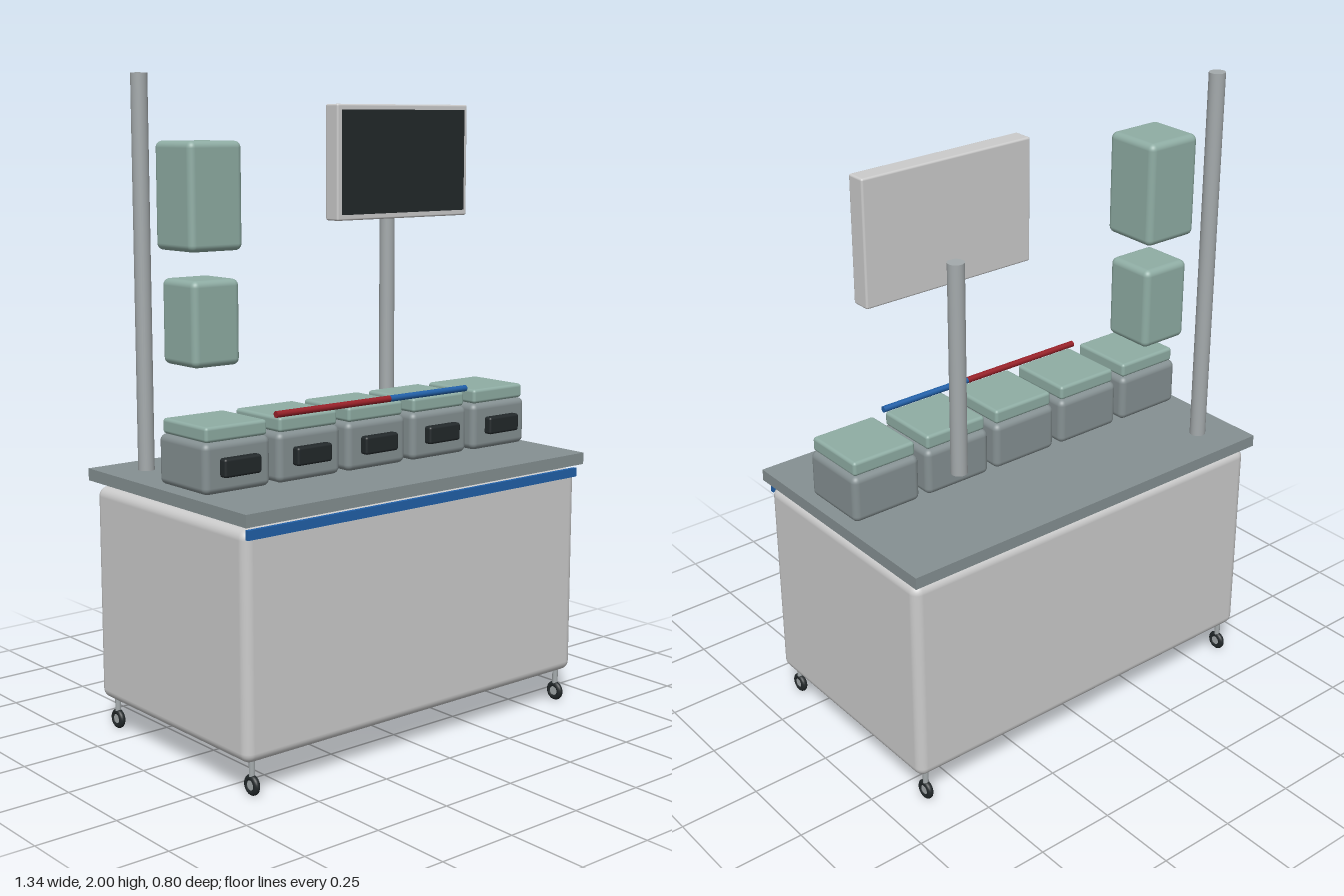
import * as THREE from 'three';
import { RoundedBoxGeometry } from 'three/addons/geometries/RoundedBoxGeometry.js';

const mat = (color) => new THREE.MeshStandardMaterial({ color });
const grey = mat(0xcccccc);
const slate = mat(0x859092);
const steel = mat(0xa4aaac);
const sage = mat(0x8fada4);
const dark = mat(0x22282a);
const blue = mat(0x2160a8);
const red = mat(0x982028);

function add(parent, name, geometry, material, x = 0, y = 0, z = 0) {
  const mesh = new THREE.Mesh(geometry, material);
  mesh.name = name;
  mesh.position.set(x, y, z);
  parent.add(mesh);
  return mesh;
}

// Box given by its lowest and highest corners; r rounds the edges
function block(parent, name, material, [x0, y0, z0], [x1, y1, z1], r = 0) {
  const size = [x1 - x0, y1 - y0, z1 - z0];
  const geometry = r ? new RoundedBoxGeometry(...size, 4, r) : new THREE.BoxGeometry(...size);
  return add(parent, name, geometry, material, (x0 + x1) / 2, (y0 + y1) / 2, (z0 + z1) / 2);
}

function post(parent, name, material, r, x, z, y0, y1) {
  return add(parent, name, new THREE.CylinderGeometry(r, r, y1 - y0, 24), material, x, (y0 + y1) / 2, z);
}

function caster(x, z) {
  const group = new THREE.Group();
  group.name = 'caster';
  group.position.set(x, 0, z);
  post(group, 'casterStem', steel, 0.009, 0, 0, 0.05, 0.115);
  add(group, 'casterTire', new THREE.TorusGeometry(0.021, 0.01, 12, 28), dark, 0, 0.031, 0).rotation.y = Math.PI / 2;
  add(group, 'casterHub', new THREE.CylinderGeometry(0.016, 0.016, 0.014, 20), steel, 0, 0.031, 0).rotation.z = Math.PI / 2;
  return group;
}

function bin(x) {
  const group = new THREE.Group();
  group.name = 'bin';
  group.position.x = x;
  block(group, 'binBody', slate, [-0.117, 0.826, -0.063], [0.117, 0.975, 0.169], 0.02);
  block(group, 'binLid', sage, [-0.108, 0.975, -0.053], [0.108, 1.02, 0.163], 0.01);
  block(group, 'binHandle', dark, [-0.065, 0.875, 0.163], [0.065, 0.93, 0.194], 0.008);
  return group;
}

function rod(parent, name, material, x0, x1) {
  const geometry = new THREE.CylinderGeometry(0.01, 0.01, x1 - x0, 16);
  add(parent, name, geometry, material, (x0 + x1) / 2, 1.03, 0.16).rotation.z = Math.PI / 2;
}

export function createModel() {
  const model = new THREE.Group();
  model.name = 'serviceCart';

  // Cabinet, worktop and front trim
  block(model, 'cabinet', grey, [-0.658, 0.103, -0.377], [0.658, 0.77, 0.38], 0.03);
  block(model, 'worktop', slate, [-0.668, 0.785, -0.398], [0.668, 0.822, 0.4]);
  block(model, 'frontTrim', blue, [-0.652, 0.745, 0.376], [0.65, 0.773, 0.388]);

  // Casters at the four corners
  for (const x of [-0.616, 0.616])
    for (const z of [-0.344, 0.347]) model.add(caster(x, z));

  // Row of lidded bins and the two-colour rod resting on them
  for (let i = -2; i <= 2; i++) model.add(bin(i * 0.26));
  rod(model, 'redRod', red, -0.38, 0.055);
  rod(model, 'blueRod', blue, 0.055, 0.375);

  // Tall pole with two hanging cases
  post(model, 'tallPole', steel, 0.025, -0.543, -0.27, 0.82, 2);
  block(model, 'upperCase', sage, [-0.53, 1.488, -0.222], [-0.342, 1.805, -0.035], 0.02);
  block(model, 'lowerCase', sage, [-0.518, 1.15, -0.212], [-0.35, 1.405, -0.043], 0.02);

  // Display on its support pole
  post(model, 'displayPole', steel, 0.025, 0.376, -0.217, 0.975, 1.625);
  block(model, 'displayHousing', grey, [0.096, 1.552, -0.194], [0.655, 1.914, -0.134], 0.006);
  block(model, 'displayScreen', dark, [0.114, 1.57, -0.14], [0.637, 1.897, -0.129]);

  return model;
}
